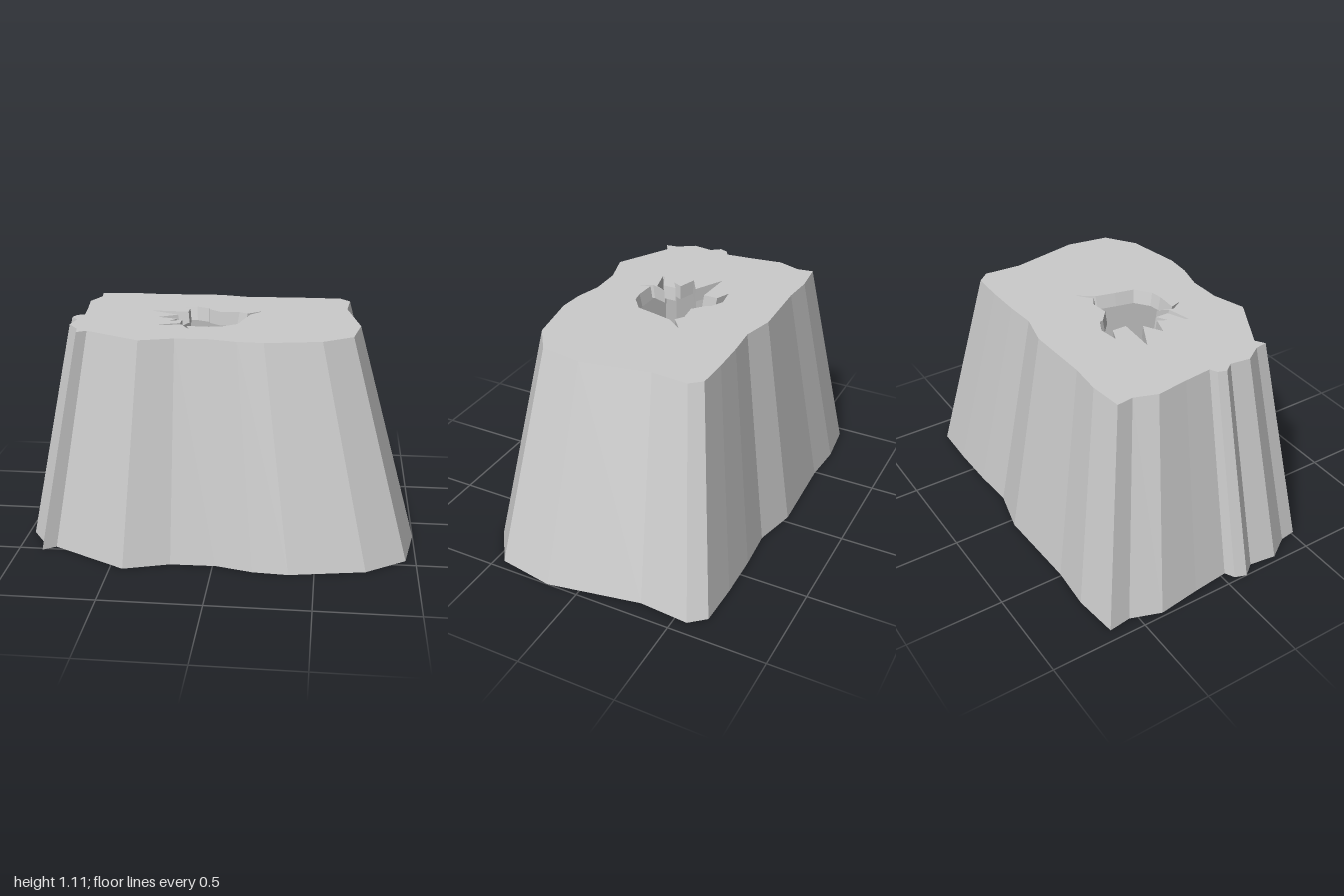
import * as THREE from 'three';

const HEIGHT = 1.11, TAPER = 0.733, SHIFT = -0.043, RIM_DEPTH = 0.07;

// Ground outline as [x, z], clockwise seen from above
const BASE = [
  [-0.94, -0.655], [-0.71, -0.68], [-0.49, -0.665], [-0.04, -0.683], [0.185, -0.63],
  [0.4, -0.645], [0.635, -0.65], [0.86, -0.645], [0.93, -0.565], [0.91, -0.31],
  [1, 0.165], [0.95, 0.455], [0.75, 0.595], [0.375, 0.663], [0.2, 0.652],
  [0.015, 0.605], [-0.21, 0.61], [-0.437, 0.68], [-0.817, 0.474], [-0.88, 0.515],
  [-0.893, 0.43], [-0.97, 0.315], [-0.95, 0.176], [-1, 0.112], [-0.979, 0.053],
  [-0.93, 0.027], [-0.95, -0.165], [-0.98, -0.385], [-0.925, -0.54],
];

// Jagged break in the top, clockwise seen from above
const HOLE = [
  [-0.4, -0.1], [-0.2, -0.09], [-0.2, -0.165], [-0.273, -0.195], [-0.17, -0.21],
  [-0.1, -0.175], [-0.095, -0.155], [-0.03, -0.1], [0.065, -0.11], [0.11, -0.08],
  [0.187, -0.142], [0.125, -0.06], [0.1, 0.04], [0.078, 0.14], [0, 0.2],
  [-0.06, 0.21], [-0.17, 0.205], [-0.15, 0.265], [-0.19, 0.2], [-0.16, 0.12],
  [-0.187, 0.175], [-0.31, 0.205], [-0.33, 0.27], [-0.305, 0.19], [-0.21, 0.15],
  [-0.21, 0.08], [-0.267, 0.115], [-0.24, 0.065], [-0.337, 0.035], [-0.245, -0.02],
];

// Closed band of quads between two outlines at different heights
function band(lower, yLow, upper, yHigh) {
  const pos = [];
  lower.forEach(([ax, az], i) => {
    const j = (i + 1) % lower.length;
    const [bx, bz] = lower[j], [cx, cz] = upper[i], [dx, dz] = upper[j];
    pos.push(ax, yLow, az, cx, yHigh, cz, dx, yHigh, dz);
    pos.push(ax, yLow, az, dx, yHigh, dz, bx, yLow, bz);
  });
  const geo = new THREE.BufferGeometry();
  geo.setAttribute('position', new THREE.Float32BufferAttribute(pos, 3));
  geo.computeVertexNormals();
  return geo;
}

const toVectors = (pts) => pts.map(([x, z]) => new THREE.Vector2(x, -z));

export function createModel() {
  const group = new THREE.Group();
  group.name = 'hollowRockStump';
  const material = new THREE.MeshStandardMaterial({
    color: 0xcccccc, flatShading: true, side: THREE.DoubleSide,
  });
  const add = (name, geo) => {
    const mesh = new THREE.Mesh(geo, material);
    mesh.name = name;
    group.add(mesh);
    return mesh;
  };

  // Tapered outer wall, open underneath
  const top = BASE.map(([x, z]) => [x * TAPER + SHIFT, z * TAPER]);
  add('wall', band(BASE, 0, top, HEIGHT));

  // Flat top with the broken opening
  const shape = new THREE.Shape(toVectors(top));
  shape.holes.push(new THREE.Path(toVectors(HOLE)));
  const cap = new THREE.ShapeGeometry(shape);
  cap.rotateX(-Math.PI / 2);
  add('top', cap).position.y = HEIGHT;

  // Short lip inside the opening, narrowing downwards
  const rim = [...HOLE].reverse();
  const inner = rim.map(([x, z]) => [-0.1 + (x + 0.1) * 0.93, 0.01 + (z - 0.01) * 0.93]);
  add('holeRim', band(inner, HEIGHT - RIM_DEPTH, rim, HEIGHT));

  return group;
}
